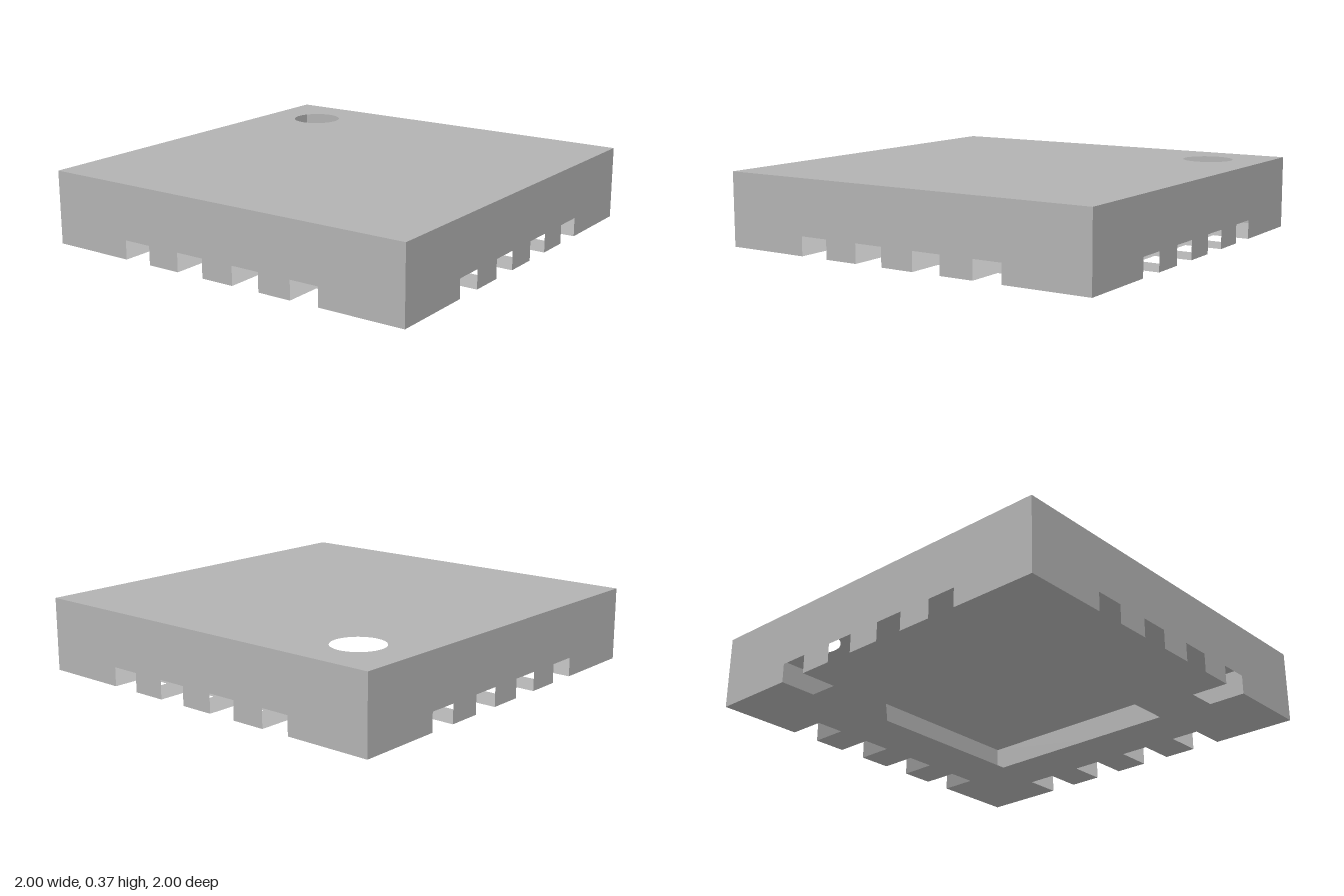
import * as THREE from 'three';

const HEIGHT = 0.37;
const NOTCH_HEIGHT = 0.095;
const SLOT_DEPTH = 0.19;
const SLOT_HALF = 0.075;
const SLOTS = [-0.4875, -0.1625, 0.1625, 0.4875];

// Hollow thin-walled square package with open terminal slots
export function createModel() {
  const group = new THREE.Group();
  group.name = 'chipPackage';
  const grey = new THREE.MeshStandardMaterial({ color: 0xb2b2b2, side: THREE.DoubleSide });
  grey.name = 'bodyGrey';

  const add = (name, shape) => {
    const mesh = new THREE.Mesh(new THREE.ShapeGeometry(shape, 48), grey);
    mesh.name = name;
    group.add(mesh);
    return mesh;
  };
  const polygon = pts => new THREE.Shape(pts.map(([x, y]) => new THREE.Vector2(x, y)));

  // One edge from -1 to 1 with a rectangular cut of the given depth at every slot
  const notchedEdge = depth => [
    [-1, 0],
    ...SLOTS.flatMap(c => [
      [c - SLOT_HALF, 0], [c - SLOT_HALF, depth],
      [c + SLOT_HALF, depth], [c + SLOT_HALF, 0],
    ]),
  ];

  // Lid with the round orientation hole
  const lid = polygon([[-1, -1], [1, -1], [1, 1], [-1, 1]]);
  const hole = new THREE.Path();
  hole.absarc(-0.705, 0.705, 0.127, 0, Math.PI * 2, true);
  lid.holes.push(hole);
  const lidMesh = add('lid', lid);
  lidMesh.rotation.x = -Math.PI / 2;
  lidMesh.position.y = HEIGHT;

  // Four side walls, notched along the bottom
  ['frontWall', 'leftWall', 'backWall', 'rightWall'].forEach((name, i) => {
    const wall = add(name, polygon([...notchedEdge(NOTCH_HEIGHT), [1, 0], [1, HEIGHT], [-1, HEIGHT]]));
    const angle = i * Math.PI / 2;
    wall.rotation.y = angle;
    wall.position.set(Math.sin(angle), 0, Math.cos(angle));
  });

  // Base with slots on all four edges and a chamfered pad opening
  const outline = [];
  for (let i = 0; i < 4; i++) {
    const c = Math.round(Math.cos(i * Math.PI / 2));
    const s = Math.round(Math.sin(i * Math.PI / 2));
    for (const [x, d] of notchedEdge(SLOT_DEPTH)) {
      const y = d - 1;
      outline.push([c * x - s * y, s * x + c * y]);
    }
  }
  const base = polygon(outline);
  const p = 0.53, k = 0.35;
  base.holes.push(new THREE.Path(
    [[p, -p], [-k, -p], [-p, -k], [-p, p], [p, p]].map(([x, y]) => new THREE.Vector2(x, y))));
  add('base', base).rotation.x = Math.PI / 2;

  return group;
}
